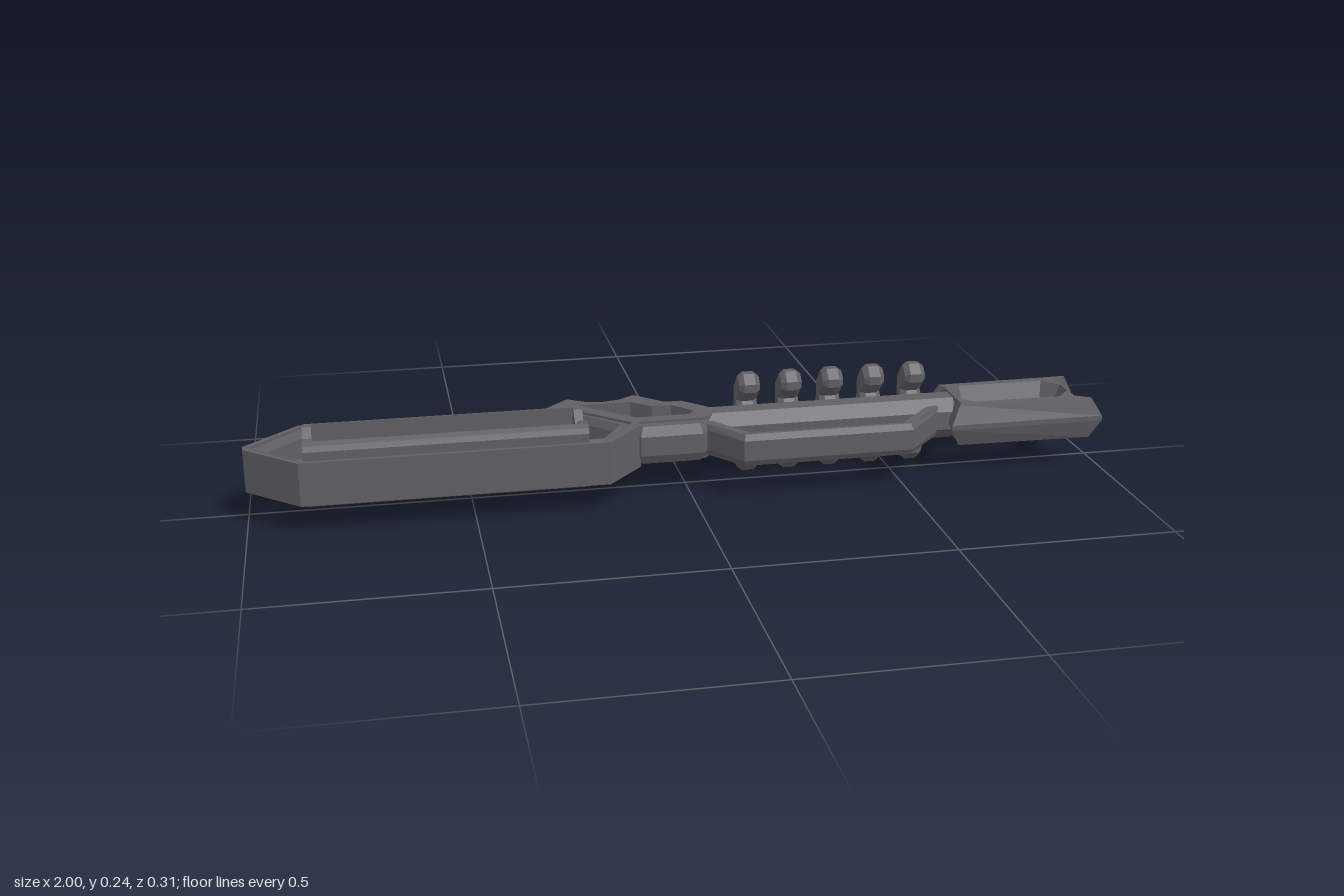
import * as THREE from 'three';

const MID = 0.121;      // height of the centre plane
const HEAD_Z = 0.034;   // centre line of the head
const material = new THREE.MeshStandardMaterial({ color: 0x606064, flatShading: true });

const path = (pts, Type = THREE.Shape) => new Type(pts.map(([a, b]) => new THREE.Vector2(a, b)));

function extrude(pts, holes, depth, bevel, rise) {
  const shape = path(pts);
  shape.holes = holes.map((h) => path(h, THREE.Path));
  const geo = new THREE.ExtrudeGeometry(shape, {
    depth: depth - 2 * rise, bevelEnabled: bevel > 0, bevelSize: bevel,
    bevelOffset: -bevel, bevelThickness: rise, bevelSegments: 1,
  });
  return geo.translate(0, 0, -(depth - 2 * rise) / 2);
}

// Flat part: outline in (x, z), thickness along y
function plate(pts, holes, height, bevel = 0, rise = 0) {
  return extrude(pts, holes, height, bevel, rise).rotateX(Math.PI / 2).translate(0, MID, 0);
}

// Cross-section in (z, y about the centre plane), length along x
function section(pts, x, length, bevel = 0, rise = 0) {
  const flipped = pts.map(([z, y]) => [-z, y]);
  return extrude(flipped, [], length, bevel, rise).rotateY(Math.PI / 2).translate(x, MID, 0);
}

// Adds the reflection of a half profile below the centre plane
const mirrorY = (pts) => [...pts, ...pts.filter(([, y]) => y !== 0).reverse().map(([z, y]) => [z, -y])];

export function createModel() {
  const group = new THREE.Group();
  const add = (name, geo, mat = material) => {
    const mesh = new THREE.Mesh(geo, mat);
    mesh.name = name;
    group.add(mesh);
    return mesh;
  };

  // Head: tall straight outer wall with a chamfered inner rim
  const headOuter = [[-1, 0.024], [-0.88, -0.094], [-0.25, -0.094], [-0.115, 0.034],
    [-0.115, 0.06], [-0.2, 0.155], [-0.88, 0.155], [-1, 0.044]];
  const headMiddle = [[-0.99, 0.034], [-0.876, -0.083], [-0.255, -0.083], [-0.13, 0.034],
    [-0.205, 0.145], [-0.876, 0.145]];
  const headInner = [[-0.965, 0.034], [-0.868, -0.067], [-0.268, -0.067], [-0.165, 0.034],
    [-0.222, 0.129], [-0.868, 0.129]];
  add('headOuterWall', plate(headOuter, [headMiddle], 0.1));
  add('headInnerRim', plate(headMiddle, [headInner], 0.094, 0.007, 0.018));

  // Core rod on a thin axle
  const smooth = new THREE.MeshStandardMaterial({ color: 0x606064 });
  const rod = (name, radius, from, to) => add(name,
    new THREE.CylinderGeometry(radius, radius, to - from, 20)
      .rotateZ(Math.PI / 2).translate((from + to) / 2, MID, HEAD_Z), smooth);
  rod('coreRod', 0.034, -0.83, -0.28);
  rod('coreAxle', 0.015, -0.98, -0.12);

  // Brackets either side of the rod: a long rail with two end plates
  const endProfile = mirrorY([[0.012, 0.05], [0.038, 0.076], [0.058, 0.076], [0.072, 0.07], [0.078, 0.058]]);
  const railProfile = mirrorY([[0.056, 0.076], [0.06, 0.076], [0.072, 0.07], [0.078, 0.058]]);
  for (const side of [1, -1]) {
    const place = (pts) => pts.map(([z, y]) => [HEAD_Z + side * z, y]);
    add('bracketRail', section(place(railProfile), -0.555, 0.63));
    for (const x of [-0.86, -0.25]) add('bracketEnd', section(place(endProfile), x, 0.02));
  }

  // Open guard with two points and a scooped edge
  add('guard', plate(
    [[-0.32, -0.093], [-0.255, -0.157], [-0.215, -0.13], [-0.175, -0.122], [-0.135, -0.13],
      [-0.095, -0.157], [-0.03, -0.094], [0.01, -0.094], [0.062, -0.04], [0.062, 0.01],
      [0.04, 0.034], [-0.12, 0.034], [-0.25, -0.075]],
    [[[-0.235, -0.108], [-0.11, -0.108], [-0.065, -0.067], [-0.02, -0.067], [0.025, -0.02],
      [0.01, 0.003], [-0.115, 0.003]]], 0.1));

  // Neck
  add('neck', plate([[-0.14, 0.034], [-0.11, 0], [0.035, 0], [0.065, 0.025], [0.03, 0.068],
    [-0.115, 0.068]], [], 0.09, 0.012, 0.022));

  // Grip shaft
  add('gripShaft', section(mirrorY([[-0.062, 0.022], [-0.035, 0.05], [0.008, 0.05], [0.032, 0.022]]), 0.345, 0.61));

  // Hand guard along the front of the grip
  add('handGuard', plate([[0.02, 0.02], [0.11, 0.141], [0.51, 0.141], [0.615, 0.02],
    [0.575, 0.02], [0.488, 0.115], [0.132, 0.115], [0.065, 0.02]], [], 0.076, 0.008, 0.014));

  // Row of hooked claw pairs along the back of the grip
  const claw = mirrorY([[-0.04, 0.025], [-0.062, 0.05], [-0.03, 0.08], [-0.03, 0.1], [-0.05, 0.121],
    [-0.07, 0.121], [-0.106, 0.082], [-0.106, 0.014], [-0.094, 0]]);
  for (let i = 0; i < 5; i++) add('clawPair', section(claw, 0.163 + i * 0.1015, 0.05, 0.009, 0.012));

  // Bevelled end block with a slot and notched ends
  add('endBlock', plate(
    [[0.625, -0.105], [1, -0.105], [0.96, -0.065], [0.96, 0.045], [1, 0.085], [0.625, 0.085],
      [0.635, 0.05], [0.635, -0.07]],
    [[[0.675, -0.025], [0.7, -0.05], [0.895, -0.05], [0.918, -0.025], [0.918, 0.005],
      [0.895, 0.03], [0.7, 0.03], [0.675, 0.005]]], 0.1, 0.02, 0.044));

  return group;
}
